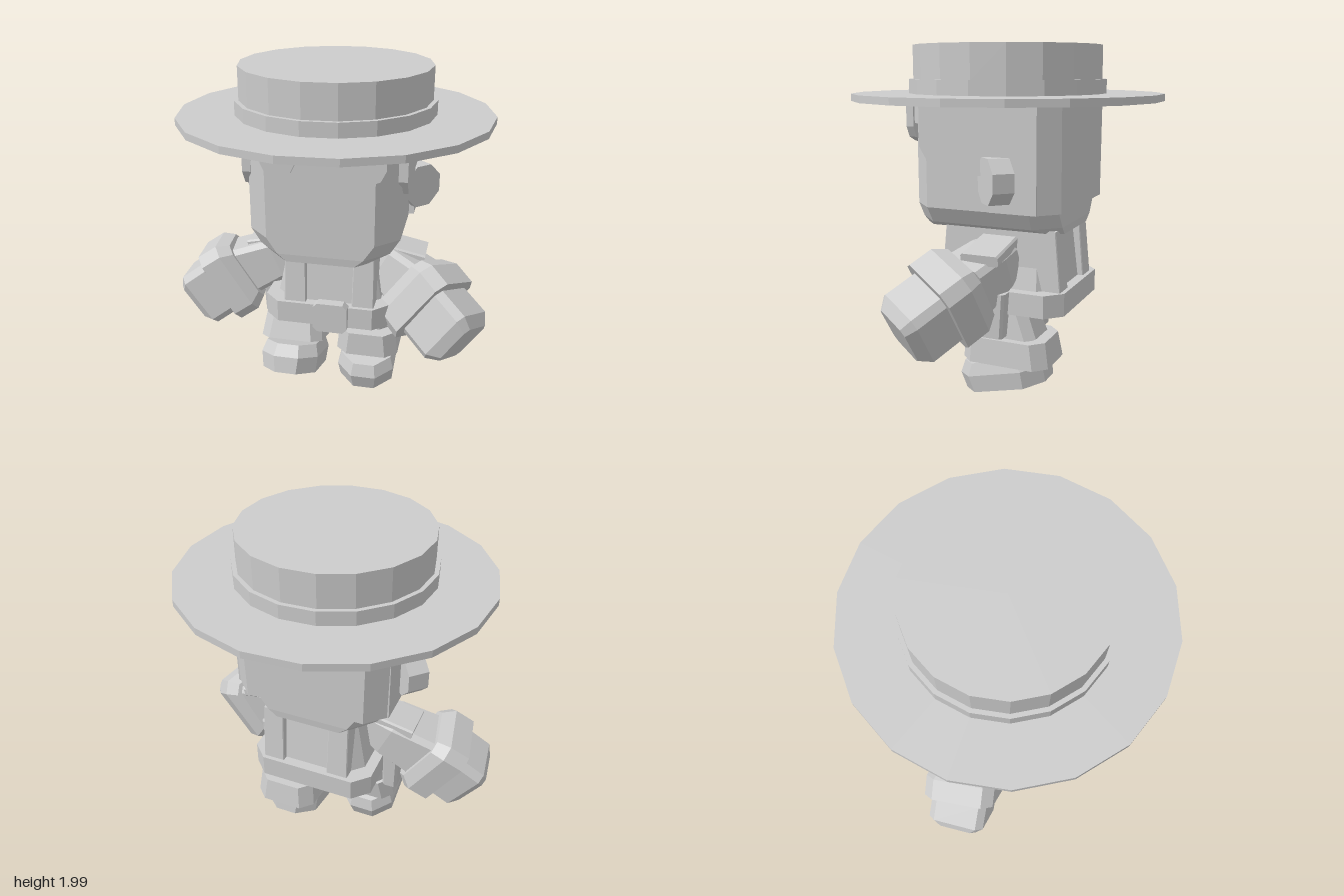
import * as THREE from 'three';

const grey = new THREE.MeshStandardMaterial({ color: 0xcccccc, flatShading: true });
grey.name = 'plain grey';

// Stack of chamfered rectangles [y, halfX, halfZ, corner, shiftZ], closed at both ends
function loft(rings) {
  const pos = [], idx = [];
  for (const [y, hx, hz, c, dz = 0] of rings) {
    const a = hx - c, b = hz - c;
    for (const [x, z] of [[a, hz], [hx, b], [hx, -b], [a, -hz], [-a, -hz], [-hx, -b], [-hx, b], [-a, hz]]) pos.push(x, y, z + dz);
  }
  for (let r = 0; r < rings.length - 1; r++) {
    for (let i = 0; i < 8; i++) {
      const a = r * 8 + i, b = r * 8 + (i + 1) % 8;
      idx.push(a, b, b + 8, a, b + 8, a + 8);
    }
  }
  const t = (rings.length - 1) * 8;
  for (let i = 1; i < 7; i++) idx.push(0, i + 1, i, t, t + i, t + i + 1);
  const g = new THREE.BufferGeometry();
  g.setAttribute('position', new THREE.Float32BufferAttribute(pos, 3));
  g.setIndex(idx);
  g.computeVertexNormals();
  return g;
}

function extrude(points, depth) {
  const shape = new THREE.Shape(points.map(([x, y]) => new THREE.Vector2(x, y)));
  return new THREE.ExtrudeGeometry(shape, { depth, bevelEnabled: false });
}

export function createModel() {
  const model = new THREE.Group();
  const CX = 0.03; // body centre line

  const add = (name, geometry, x = 0, y = 0, z = 0, rx = 0, ry = 0) => {
    const mesh = new THREE.Mesh(geometry, grey);
    mesh.name = name;
    mesh.position.set(x, y, z);
    mesh.rotation.set(rx, ry, 0);
    model.add(mesh);
    return mesh;
  };

  // Hat: 18-sided discs
  for (const [name, r, y0, y1] of [['hatBrim', 0.888, 1.692, 1.732], ['hatBand', 0.565, 1.732, 1.812], ['hatCrown', 0.54, 1.812, 2]]) {
    add(name, new THREE.CylinderGeometry(r, r, y1 - y0, 18), CX, (y0 + y1) / 2, 0, 0, 0.225);
  }

  // Head with a tapered jaw
  add('head', loft([
    [0.975, 0.25, 0.425, 0.06], [1.02, 0.37, 0.43, 0.13], [1.11, 0.425, 0.43, 0.125], [1.7, 0.425, 0.43, 0.125],
  ]), CX);

  // Hair: top cap, back block, jagged fringe and side plates
  add('hairCap', loft([[1.57, 0.455, 0.445, 0.135], [1.7, 0.455, 0.445, 0.135]]), CX);
  add('hairBack', loft([[1.115, 0.445, 0.19, 0.1, -0.27], [1.7, 0.455, 0.19, 0.1, -0.27]]), CX);
  add('hairFringe', extrude([
    [-0.28, 1.7], [-0.28, 1.55], [-0.25, 1.49], [-0.19, 1.46], [-0.12, 1.5], [-0.085, 1.57], [-0.05, 1.5], [0.05, 1.435],
    [0.14, 1.5], [0.18, 1.57], [0.22, 1.49], [0.29, 1.46], [0.36, 1.49], [0.39, 1.55], [0.39, 1.7],
  ], 0.045), 0, 0, 0.42);
  const sideHair = extrude([
    [0.33, 1.7], [0.33, 1.45], [0.28, 1.37], [0.13, 1.32], [0, 1.31], [-0.08, 1.31], [-0.08, 1.115], [-0.36, 1.115], [-0.36, 1.7],
  ], 0.05);
  for (const s of [1, -1]) {
    add('sideHair', sideHair, CX + (s > 0 ? 0.455 : -0.405), 0, 0, 0, -Math.PI / 2);
    // Ears: octagonal blocks angled outward
    const ear = new THREE.CylinderGeometry(0.133, 0.133, 0.12, 8);
    ear.rotateY(Math.PI / 8).rotateX(Math.PI / 2);
    add('ear', ear, 0.02 + s * 0.47, 1.29, -0.13, 0, s * Math.PI / 4);
  }

  // Torso, belt, buckle and braces
  add('torso', loft([[0.6, 0.32, 0.34, 0.1, -0.07], [1.0, 0.24, 0.29, 0.08, -0.07]]), CX);
  add('belt', loft([[0.53, 0.37, 0.39, 0.09, -0.07], [0.66, 0.37, 0.39, 0.09, -0.07]]), CX);
  const buckle = loft([[0, 0.1, 0.09, 0.025], [0.06, 0.1, 0.09, 0.025]]);
  buckle.rotateX(Math.PI / 2);
  add('buckle', buckle, 0.07, 0.6, 0.3);
  for (const s of [1, -1]) {
    add('brace', loft([[0.62, 0.065, 0.37, 0.005, -0.07], [1.0, 0.06, 0.335, 0.005, -0.07]]), 0.05 + s * 0.2);
    add('hipPouch', loft([[0.4, 0.045, 0.07, 0.015], [0.66, 0.055, 0.09, 0.015]]), 0.02 + s * 0.4, 0, -0.08);
  }

  // Limb piece: a loft laid from point a to point b, given as [fraction, halfX, halfZ, corner]
  const limb = (name, a, b, rings) => {
    const from = new THREE.Vector3(...a), dir = new THREE.Vector3(...b).sub(from);
    const len = dir.length();
    dir.normalize();
    const xAxis = new THREE.Vector3().crossVectors(dir, new THREE.Vector3(0, 0, 1)).normalize();
    const zAxis = new THREE.Vector3().crossVectors(xAxis, dir);
    const mesh = add(name, loft(rings.map(([t, ...r]) => [t * len, ...r])), ...a);
    mesh.quaternion.setFromRotationMatrix(new THREE.Matrix4().makeBasis(xAxis, dir, zAxis));
  };

  // Arms: shoulder, elbow, wrist and fingertip points
  const arms = [
    ['left', [0.27, 0.85, -0.09], [0.5, 0.72, 0.02], [0.65, 0.61, 0.14], [0.83, 0.485, 0.275]],
    ['right', [-0.21, 0.85, -0.07], [-0.53, 0.705, -0.03], [-0.69, 0.6, 0.01], [-0.855, 0.48, 0.04]],
  ];
  for (const [side, shoulder, elbow, wrist, tip] of arms) {
    const s = Math.sign(shoulder[0]);
    limb(side + 'ShoulderFlap', [CX + s * 0.25, 0.925, -0.07], [0.03 + s * 0.54, 0.87, -0.07], [[0, 0.035, 0.11, 0.01], [1, 0.03, 0.11, 0.01]]);
    limb(side + 'Sleeve', shoulder, elbow, [[0, 0.09, 0.11, 0.02], [0.4, 0.13, 0.14, 0.03], [1.1, 0.16, 0.15, 0.03]]);
    limb(side + 'Cuff', elbow, wrist, [[0, 0.19, 0.17, 0.05], [0.35, 0.235, 0.21, 0.06], [1, 0.235, 0.21, 0.06]]);
    limb(side + 'Hand', wrist, tip, [[0, 0.18, 0.17, 0.04], [0.75, 0.18, 0.17, 0.04], [1, 0.135, 0.125, 0.03]]);
  }

  // Legs in mid stride: left heel lifted behind, right toe raised in front
  const shoe = loft([[-0.08, 0.165, 0.255, 0.1], [0.02, 0.175, 0.265, 0.1], [0.09, 0.155, 0.225, 0.09]]);
  limb('leftLeg', [0.24, 0.33, -0.14], [0.24, 0.56, -0.07], [[0, 0.14, 0.17, 0.05], [1, 0.115, 0.15, 0.05]]);
  add('leftTrouserCuff', loft([[0.23, 0.19, 0.26, 0.07, -0.13], [0.375, 0.175, 0.245, 0.07, -0.12]]), 0.245);
  add('leftShoe', shoe, 0.24, 0.145, -0.085, 0.24);
  limb('rightLeg', [-0.2, 0.36, 0.04], [-0.2, 0.56, -0.04], [[0, 0.16, 0.17, 0.05], [1, 0.12, 0.15, 0.05]]);
  add('rightTrouserCuff', loft([[-0.08, 0.19, 0.2, 0.06], [0.07, 0.17, 0.18, 0.06]]), -0.2, 0.38, 0.04, -0.3);
  add('rightShoe', shoe, -0.2, 0.195, 0.11, -0.33);

  return model;
}
